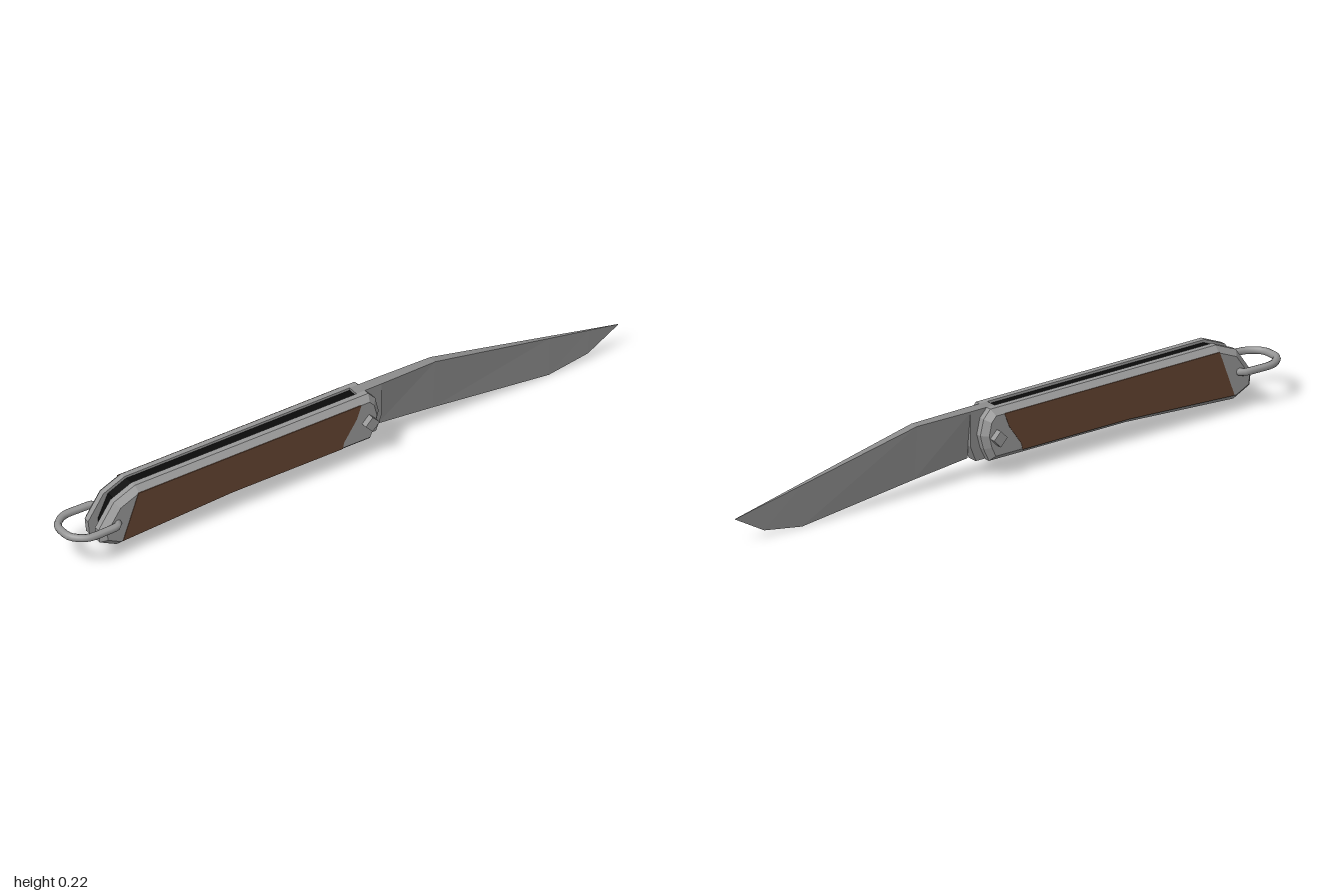
import * as THREE from 'three';

const mat = (name, color, double) => {
  const m = new THREE.MeshStandardMaterial({ color });
  m.name = name;
  if (double) m.side = THREE.DoubleSide;
  return m;
};

// Move every edge of a counter-clockwise outline inwards by d.
function inset(pts, d) {
  const n = pts.length;
  return pts.map((p, i) => {
    const a = pts[(i + n - 1) % n], b = pts[(i + 1) % n];
    const n1 = new THREE.Vector2(-(p[1] - a[1]), p[0] - a[0]).normalize();
    const n2 = new THREE.Vector2(-(b[1] - p[1]), b[0] - p[0]).normalize();
    const k = d / (1 + n1.dot(n2));
    return [p[0] + (n1.x + n2.x) * k, p[1] + (n1.y + n2.y) * k];
  });
}

// Flat-shaded solid through xy loops at rising z; side -1 mirrors it in z.
function loft(layers, side = 1) {
  const pos = [];
  const tri = (a, b, c) => {
    for (const p of side > 0 ? [a, b, c] : [a, c, b]) pos.push(p[0], p[1], p[2] * side);
  };
  const loops = layers.map(([pts, z]) => pts.map(p => [p[0], p[1], z]));
  for (let k = 0; k + 1 < loops.length; k++) {
    const A = loops[k], B = loops[k + 1], n = A.length;
    for (let i = 0; i < n; i++) {
      const j = (i + 1) % n;
      tri(A[i], A[j], B[j]);
      tri(A[i], B[j], B[i]);
    }
  }
  const cap = (loop, flip) => {
    const faces = THREE.ShapeUtils.triangulateShape(loop.map(p => new THREE.Vector2(p[0], p[1])), []);
    for (const [a, b, c] of faces) flip ? tri(loop[a], loop[c], loop[b]) : tri(loop[a], loop[b], loop[c]);
  };
  cap(loops[0], true);
  cap(loops[loops.length - 1], false);
  const g = new THREE.BufferGeometry();
  g.setAttribute('position', new THREE.Float32BufferAttribute(pos, 3));
  g.computeVertexNormals();
  return g;
}

// Wedge-ground blade from sections [x, spine y, edge y, half spine thickness].
function bladeGeometry(sections) {
  const pos = [];
  const tri = (...v) => v.forEach(p => pos.push(...p));
  const rings = sections.map(([x, s, e, t]) => [[x, s, t], [x, s, -t], [x, e, 0]]);
  for (let k = 0; k + 1 < rings.length; k++) {
    for (let i = 0; i < 3; i++) {
      const j = (i + 1) % 3, A = rings[k], B = rings[k + 1];
      tri(A[i], B[i], B[j]);
      tri(A[i], B[j], A[j]);
    }
  }
  tri(...rings[0]);
  const g = new THREE.BufferGeometry();
  g.setAttribute('position', new THREE.Float32BufferAttribute(pos, 3));
  g.computeVertexNormals();
  return g;
}

export function createModel() {
  const group = new THREE.Group();
  const metal = mat('handleMetal', 0x989898);
  const steel = mat('bladeSteel', 0x8c8c8c, true);
  const wood = mat('brownScale', 0x644431);
  const black = mat('blackCore', 0x0a0a0a);
  const add = (name, geometry, material) => {
    const m = new THREE.Mesh(geometry, material);
    m.name = name;
    group.add(m);
  };

  // Outlines, counter-clockwise in the xy plane
  const handle = [[-0.82, 0.035], [-0.42, 0.058], [0.085, 0.058], [0.105, 0.1], [0.117, 0.145],
    [0.105, 0.195], [0.08, 0.222], [-0.755, 0.222], [-0.83, 0.19], [-0.885, 0.11], [-0.88, 0.065]];
  const scale = [[-0.81, 0.054], [-0.42, 0.074], [-0.025, 0.074], [-0.02, 0.095], [0.025, 0.16],
    [0.042, 0.205], [-0.755, 0.205]];
  const core = [[-0.8, 0.05], [-0.42, 0.07], [0.05, 0.07], [0.05, 0.214], [-0.75, 0.214],
    [-0.815, 0.185], [-0.85, 0.11], [-0.85, 0.07]];
  const tang = [[0.05, 0.06], [0.12, 0.06], [0.14, 0.11], [0.14, 0.222], [0.05, 0.222]];
  const diamond = [[0.07, 0.11], [0.095, 0.136], [0.07, 0.161], [0.045, 0.136]];

  // Bevelled handle halves, their brown inlays and the pivot heads
  for (const [label, s] of [['front', 1], ['back', -1]]) {
    add(label + 'HandlePlate', loft([[handle, 0.018], [handle, 0.036], [inset(handle, 0.018), 0.055]], s), metal);
    add(label + 'Scale', loft([[scale, 0.054], [scale, 0.0565]], s), wood);
    add(label + 'PivotHead', loft([[diamond, 0.05], [diamond, 0.075]], s), metal);
  }

  // Dark core between the plates
  add('core', loft([[core, -0.0185], [core, 0.0185]]), black);

  // Blade and its tang
  add('tang', loft([[tang, -0.018], [tang, 0.018]]), steel);
  add('blade', bladeGeometry([
    [0.138, 0.222, 0.068, 0.018], [0.335, 0.222, 0.048, 0.014], [0.75, 0.136, 0, 0.006],
    [0.89, 0.107, 0.022, 0.003], [0.998, 0.085, 0.083, 0.0005]]), steel);

  // Shackle at the butt end
  const half = [[-0.828, 0.045], [-0.832, 0.064], [-0.88, 0.07], [-0.945, 0.066], [-0.983, 0.033]];
  const path = [...half, [-0.988, 0], ...half.slice().reverse().map(([x, z]) => [x, -z])]
    .map(([x, z]) => new THREE.Vector3(x, 0.125, z));
  add('shackle', new THREE.TubeGeometry(new THREE.CatmullRomCurve3(path), 32, 0.012, 8), metal);

  return group;
}
